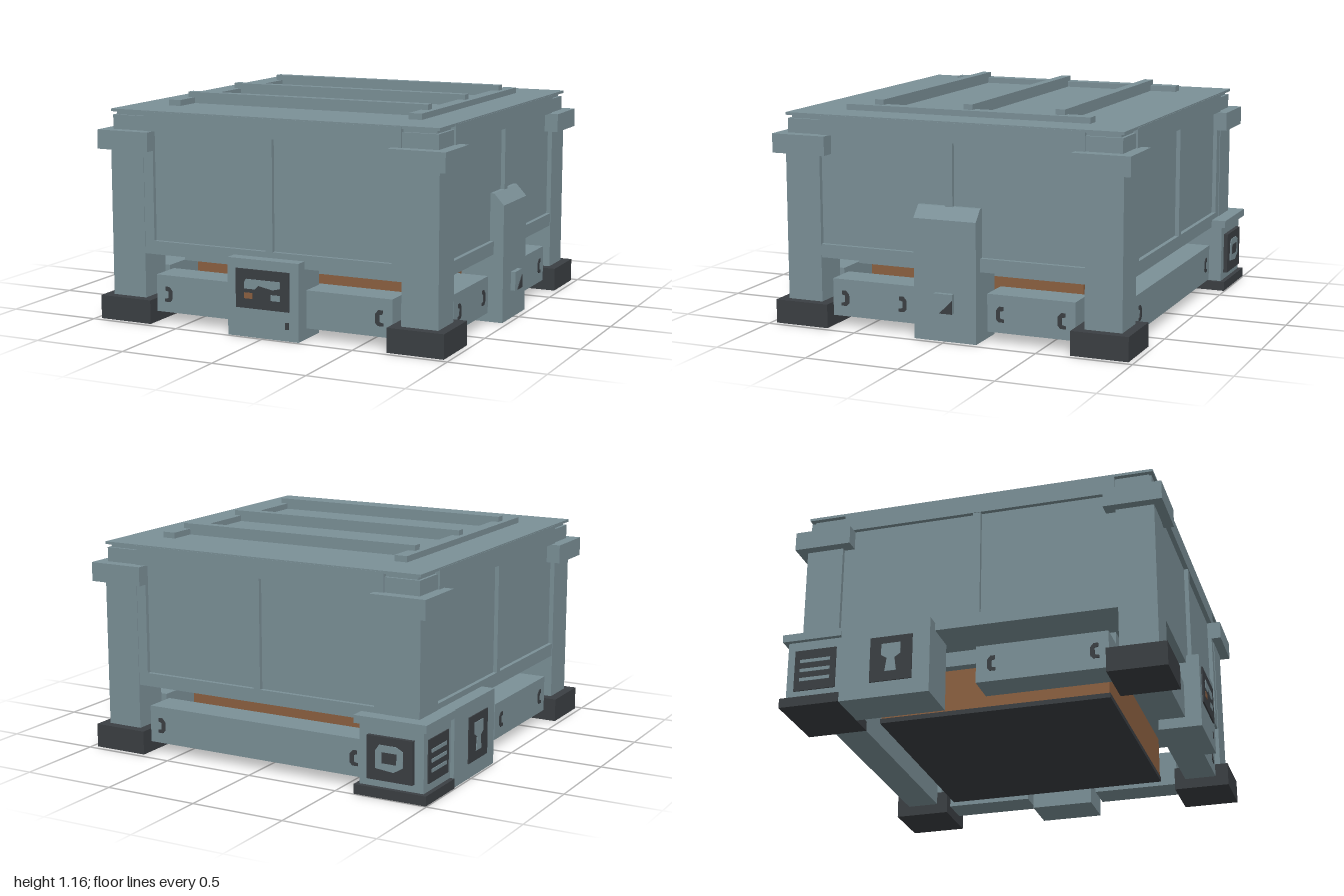
import * as THREE from 'three';

const mat = (name, color) => new THREE.MeshStandardMaterial({ name, color });

export function createModel() {
  const steel = mat('blue grey steel', 0x7b9097);
  const dark = mat('dark rubber', 0x3b3f43);
  const copper = mat('copper brown', 0x8c6040);
  const root = new THREE.Group();
  root.name = 'crate';

  // Box given by its min and max along each axis
  const box = (name, m, x0, x1, y0, y1, z0, z1, parent = root) => {
    const mesh = new THREE.Mesh(new THREE.BoxGeometry(x1 - x0, y1 - y0, z1 - z0), m);
    mesh.position.set((x0 + x1) / 2, (y0 + y1) / 2, (z0 + z1) / 2);
    mesh.name = name;
    parent.add(mesh);
    return mesh;
  };
  // Group whose local +z faces outwards on one side of the crate
  const side = (name, angle) => {
    const g = new THREE.Group();
    g.name = name;
    g.rotation.y = angle;
    root.add(g);
    return g;
  };
  // Extruded outline lying in the local xy plane
  const plate = (name, m, pts, z0, depth, parent) => {
    const shape = new THREE.Shape(pts.map(p => new THREE.Vector2(...p)));
    const mesh = new THREE.Mesh(
      new THREE.ExtrudeGeometry(shape, { depth, bevelEnabled: false }), m);
    mesh.position.z = z0;
    mesh.name = name;
    parent.add(mesh);
    return mesh;
  };
  // Curved slot in a bumper
  const slot = (x, parent, s = 1) => plate('bumperSlot', dark, [
    [-0.022, 0.11], [0.008, 0.11], [0.022, 0.125], [0.022, 0.17], [0.005, 0.19],
    [-0.018, 0.19], [-0.018, 0.17], [0, 0.165], [0, 0.13], [-0.022, 0.125],
  ].map(([u, v]) => [x + s * u, v]), 0.9, 0.004, parent);

  // Body, underframe and inner cargo box
  box('bodyCore', steel, -0.895, 0.895, 0.36, 1.09, -0.895, 0.895);
  box('underframe', steel, -0.65, 0.65, 0.28, 0.36, -0.65, 0.65);
  box('innerBox', copper, -0.6, 0.6, 0.055, 0.28, -0.6, 0.6);
  box('floorPlate', dark, -0.605, 0.605, 0.03, 0.055, -0.605, 0.605);

  // Four framed walls with two recessed panels each
  const front = side('frontSide', 0);
  const left = side('leftSide', Math.PI / 2);
  const back = side('backSide', Math.PI);
  const right = side('rightSide', -Math.PI / 2);
  [front, left, back, right].forEach((g, i) => {
    box('lowerRail', steel, -0.73, 0.73, 0.36, 0.43, 0.88, 0.917, g);
    box('upperRail', steel, -0.72, 0.72, 1.0, 1.1, 0.88, 0.92, g);
    box('mullion', steel, -0.02, 0.02, 0.43, 1.0, 0.88, 0.917, g);
    if (i % 2 === 0) for (const s of [-1, 1])
      box('stile', steel, s * 0.7 - 0.03, s * 0.7 + 0.03, 0.43, 1.0, 0.88, 0.917, g);
  });

  // Corner posts, caps and feet
  for (const sx of [-1, 1]) for (const sz of [-1, 1]) {
    const c = (name, m, a, b, y0, y1) => box(name, m,
      Math.min(sx * a, sx * b), Math.max(sx * a, sx * b), y0, y1,
      Math.min(sz * a, sz * b), Math.max(sz * a, sz * b));
    c('cornerPost', steel, 0.725, 0.92, 0.12, 1.0);
    c('cornerCap', steel, 0.67, 0.97, 0.9, 1.0);
    c('lidRest', steel, 0.72, 0.91, 1.0, 1.075);
    if (sx > 0 || sz > 0) c('foot', dark, 0.67, 0.97, 0, 0.125);
  }

  // Lid with roof rails and crossbars
  box('lid', steel, -0.918, 0.918, 1.092, 1.106, -0.918, 0.918);
  for (const s of [-1, 1])
    box('roofRail', steel, s * 0.685 - 0.035, s * 0.685 + 0.035, 1.1, 1.137, -0.675, 0.67);
  for (const z of [-0.505, -0.005, 0.495])
    box('crossbar', steel, -0.69, 0.69, 1.1, 1.165, z - 0.025, z + 0.025);

  // Bumpers: local x ranges on each side
  for (const [g, ranges, slots] of [
    [front, [[-0.67, 0.67]], [-0.6, 0.6]],
    [back, [[-0.67, 0.62]], [-0.6, 0.55]],
    [left, [[-0.67, -0.2], [0.2, 0.67]], [-0.6, -0.27, 0.27, 0.6]],
    [right, [[0, 0.67]], [0.08, 0.6]],
  ]) {
    for (const [a, b] of ranges) box('bumper', steel, a, b, 0.055, 0.25, 0.73, 0.9, g);
    for (const x of slots) slot(x, g, x < 0 ? 1 : -1);
  }

  // Front control unit with display
  box('controlUnit', steel, -0.2, 0.2, 0, 0.4, 0.76, 0.985, front);
  box('display', dark, -0.15, 0.15, 0.15, 0.35, 0.985, 0.993, front);
  plate('displayGlyph', steel, [[-0.1, 0.25], [-0.04, 0.25], [-0.02, 0.27], [0.06, 0.255],
    [0.1, 0.265], [0.1, 0.3], [-0.09, 0.3], [-0.1, 0.285]], 0.993, 0.003, front);
  box('displayBlock', steel, 0.05, 0.1, 0.2, 0.23, 0.993, 0.996, front);
  box('displayLamp', copper, -0.1, -0.055, 0.2, 0.23, 0.993, 0.996, front);
  box('unitSlot', dark, 0.125, 0.145, 0.06, 0.095, 0.985, 0.988, front);

  // Tall latch panel with sloped top, on the model's left
  const latch = new THREE.Shape([[0.74, 0], [0.97, 0], [0.97, 0.62], [0.915, 0.68],
    [0.88, 0.68], [0.88, 0.36], [0.74, 0.36]].map(p => new THREE.Vector2(...p)));
  const latchMesh = new THREE.Mesh(
    new THREE.ExtrudeGeometry(latch, { depth: 0.34, bevelEnabled: false }), steel);
  latchMesh.position.z = -0.17;
  latchMesh.name = 'latchPanel';
  root.add(latchMesh);
  box('latchButton', steel, -0.05, 0.05, 0.15, 0.25, 0.96, 0.995, left);
  plate('buttonMark', dark, [[-0.02, 0.15], [0.05, 0.15], [0.05, 0.22], [0.02, 0.19]],
    0.995, 0.004, left);

  // Corner machine at the back, on the model's right
  box('machineBase', dark, -0.995, -0.6, 0, 0.05, -0.995, -0.68);
  box('machineBody', steel, -0.97, -0.62, 0.05, 0.36, -0.97, -0.68);
  box('machineTop', steel, -0.995, -0.6, 0.36, 0.4, -0.995, -0.68);
  box('sidePanel', steel, -0.99, -0.74, 0, 0.4, -0.68, -0.21);

  // Machine displays (local x is flipped on the back side)
  box('backDisplay', dark, 0.67, 0.92, 0.09, 0.31, 0.96, 0.992, back);
  plate('backGlyph', steel, [[0.72, 0.15], [0.82, 0.14], [0.87, 0.17], [0.87, 0.25],
    [0.83, 0.27], [0.74, 0.27], [0.72, 0.24]], 0.992, 0.004, back);
  box('backGlyphCore', dark, 0.755, 0.835, 0.18, 0.235, 0.995, 0.998, back);
  box('ventDisplay', dark, -0.93, -0.71, 0.09, 0.31, 0.96, 0.976, right);
  for (let i = 0; i < 3; i++)
    box('ventSlat', steel, -0.9, -0.74, 0.14 + i * 0.05, 0.158 + i * 0.05, 0.976, 0.98, right);
  box('sideDisplay', dark, -0.52, -0.3, 0.08, 0.32, 0.98, 0.996, right);
  plate('sideGlyph', steel, [[-0.44, 0.13], [-0.38, 0.13], [-0.39, 0.2], [-0.36, 0.22],
    [-0.36, 0.28], [-0.46, 0.28], [-0.46, 0.22], [-0.43, 0.2]], 0.996, 0.004, right);

  return root;
}
